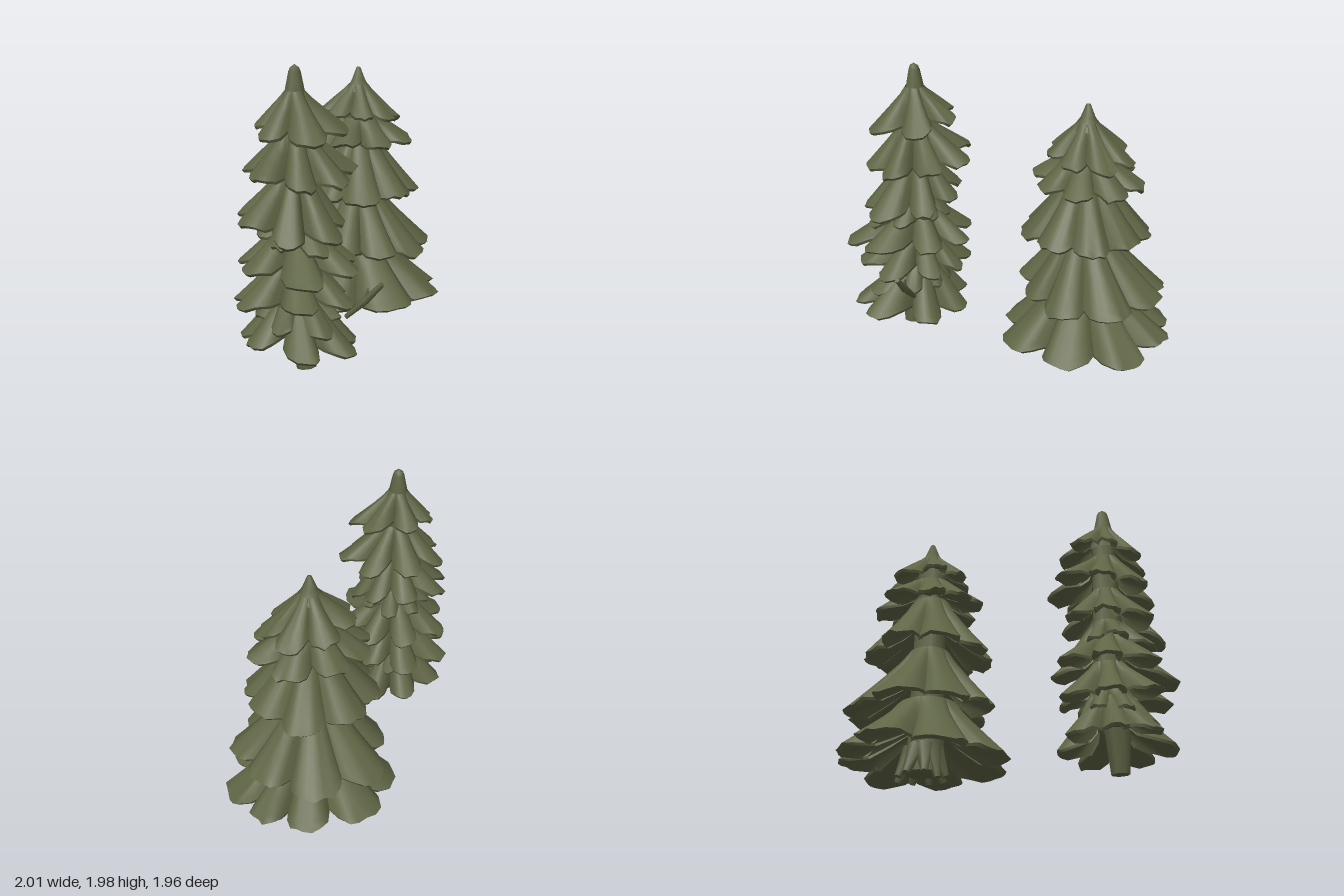
import * as THREE from 'three';
import { mergeGeometries } from 'three/addons/utils/BufferGeometryUtils.js';

let seed = 11;
const rnd = () => ((seed = (seed * 16807) % 2147483647) / 2147483647) * 2 - 1;
const needles = new THREE.MeshStandardMaterial({ color: 0x5f6545, side: THREE.DoubleSide });
needles.name = 'pine green';

// Smooth grid through rows of points (rows run inward to outward)
function loft(rows) {
  const n = rows[0].length, index = [];
  for (let i = 0; i < rows.length - 1; i++) {
    for (let j = 0; j < n - 1; j++) {
      const a = i * n + j, b = a + n;
      index.push(a, a + 1, b, b, a + 1, b + 1);
    }
  }
  const g = new THREE.BufferGeometry().setFromPoints(rows.flat());
  g.setIndex(index);
  g.computeVertexNormals();
  return g;
}

// One drooping bough: ridged upper face, thin ragged edge and a hollow underside
function bough(tree, tier, angle, a0, a1) {
  const { top, rTop, tip, tiltX = 0, tiltZ = 0, depth, ext } = tier;
  const cols = 8, reach = 0.99 + 0.04 * rnd(), sag = 0.03 * rnd();
  const rim = [];
  for (let j = 0; j <= cols; j++) {
    const u = (j / cols) * 2 - 1;
    const a = u < 0 ? angle + u * (angle - a0) : angle + u * (a1 - angle);
    const c = Math.cos(a), s = Math.sin(a);
    const rx = c > 0 ? ext[1] - tree.x : tree.x - ext[0];
    const rz = s > 0 ? ext[3] - tree.z : tree.z - ext[2];
    const f = (1 - depth * Math.abs(u) ** tree.blunt) * (1 + (reach - 1) * (1 - u * u)) + 0.025 * rnd();
    rim.push({
      c, s, u, r: Math.hypot(c * rx, s * rz) * f,
      y: tip - tiltX * c - tiltZ * s + sag * (1 - u * u) + 0.07 * depth * u * u + 0.015 * rnd(),
    });
  }
  const row = fn => rim.map(p => {
    const [r, y] = fn(p);
    return new THREE.Vector3(tree.x + p.c * r, y, tree.z + p.s * r);
  });
  const upper = [0, 0.2, 0.45, 0.7, 0.9, 1].map(t => row(p => [
    rTop + (p.r - rTop) * t ** 1.2,
    top + (p.y + 0.01 - top) * t + Math.sin(Math.PI * t) * (0.012 - 0.035 * p.u * p.u),
  ]));
  const edge = [upper[5], row(p => [p.r * 0.96, p.y - 0.008])];
  const under = [edge[1],
    row(p => [p.r * 0.62, p.y + (top - p.y) * 0.2]),
    row(p => [Math.min(rTop, 0.09), p.y + (top - p.y) * 0.5])];
  return [loft(upper), loft(edge), loft(under)];
}

function addTier(group, tree, tier, i) {
  const A = tier.at.map(d => d * Math.PI / 180), n = A.length, parts = [];
  A.forEach((a, k) => {
    const prev = k ? A[k - 1] : A[n - 1] - 2 * Math.PI;
    const next = k < n - 1 ? A[k + 1] : A[0] + 2 * Math.PI;
    parts.push(...bough(tree, tier, a, (a + prev) / 2 - 0.03, (a + next) / 2 + 0.03));
  });
  const mesh = new THREE.Mesh(mergeGeometries(parts), needles);
  mesh.name = `boughTier${i + 1}`;
  group.add(mesh);
}

// Tapered rod between two points
function rod(name, from, to, r0, r1, sides = 7) {
  const a = new THREE.Vector3(...from), b = new THREE.Vector3(...to), d = b.clone().sub(a);
  const m = new THREE.Mesh(new THREE.CylinderGeometry(r1, r0, d.length(), sides), needles);
  m.position.copy(a).add(b).multiplyScalar(0.5);
  m.quaternion.setFromUnitVectors(new THREE.Vector3(0, 1, 0), d.normalize());
  m.name = name;
  return m;
}

// Leading shoot at the top of a tree
function crown(tree) {
  const g = new THREE.LatheGeometry(tree.crown.map(p => new THREE.Vector2(...p)), 7);
  const m = new THREE.Mesh(g, needles);
  m.position.set(tree.x, 0, tree.z);
  m.name = 'crown';
  return m;
}

// ext = xMin, xMax, zMin, zMax of the bough tips; at = bough directions in degrees
const slim = {
  name: 'slimTree', x: -0.57, z: 0.45, blunt: 2.4,
  crown: [[0.1, 1.65], [0.08, 1.74], [0.065, 1.82], [0.04, 1.94], [0.03, 1.965], [0, 1.985]],
  tiers: [
    { top: 1.82, rTop: 0.065, tip: 1.57, tiltZ: 0.05, depth: 0.55, ext: [-0.84, -0.23, 0.17, 0.8], at: [-150, -88, -28, 16, 96, 170] },
    { top: 1.57, rTop: 0.1, tip: 1.28, tiltZ: 0.06, depth: 0.55, ext: [-0.9, -0.15, 0.04, 0.81], at: [-135, -83, -35, 8, 58, 107, 172] },
    { top: 1.31, rTop: 0.1, tip: 0.99, tiltZ: 0.08, depth: 0.5, ext: [-0.96, -0.26, 0.11, 0.87], at: [-140, -85, -30, 10, 78, 125, 178] },
    { top: 1.06, rTop: 0.11, tip: 0.87, tiltZ: 0.02, depth: 0.5, ext: [-0.84, -0.33, 0.22, 0.83], at: [-155, -110, -55, 0, 50, 90, 140] },
    { top: 0.97, rTop: 0.11, tip: 0.7, tiltZ: 0.01, depth: 0.56, ext: [-0.97, -0.17, 0.07, 0.98], at: [-135, -82, -33, 8, 68, 108, 172] },
    { top: 0.75, rTop: 0.12, tip: 0.47, tiltX: -0.02, tiltZ: -0.01, depth: 0.56, ext: [-1.0, -0.23, 0.06, 0.89], at: [-140, -83, -33, 7, 62, 110, 175] },
    { top: 0.56, rTop: 0.13, tip: 0.34, tiltZ: 0.02, depth: 0.55, ext: [-0.84, -0.33, 0.22, 0.85], at: [-165, -110, -58, -10, 35, 88, 140] },
    { top: 0.5, rTop: 0.13, tip: 0.18, tiltX: 0.04, depth: 0.58, ext: [-0.96, -0.17, 0.1, 0.96], at: [-145, -85, -35, 14, 74, 108, 172] },
  ],
};
const broad = {
  name: 'broadTree', x: 0.37, z: -0.38, blunt: 3.2,
  crown: [[0.1, 1.66], [0.075, 1.7], [0.05, 1.74], [0.015, 1.83], [0, 1.835]],
  tiers: [
    { top: 1.71, rTop: 0.07, tip: 1.47, tiltX: 0.02, depth: 0.42, ext: [0.07, 0.7, -0.7, -0.1], at: [-155, -95, -40, 5, 60, 110, 165] },
    { top: 1.48, rTop: 0.16, tip: 1.28, depth: 0.42, ext: [-0.04, 0.8, -0.78, -0.01], at: [-150, -100, -45, 0, 42, 88, 140, 178] },
    { top: 1.34, rTop: 0.13, tip: 0.91, depth: 0.24, ext: [-0.1, 0.83, -0.82, 0.05], at: [-160, -110, -62, -15, 25, 68, 115, 160] },
    { top: 0.95, rTop: 0.14, tip: 0.48, tiltX: 0.01, tiltZ: -0.01, depth: 0.3, ext: [-0.11, 0.96, -0.98, 0.08], at: [-165, -120, -72, -30, 8, 55, 92, 140] },
    { top: 0.55, rTop: 0.21, tip: 0.15, tiltX: -0.01, tiltZ: 0.02, depth: 0.34, ext: [-0.21, 1.01, -1, 0.22], at: [-158, -107, -64, -34, -3, 47, 90, 152] },
  ],
};

function makeTree(tree) {
  const g = new THREE.Group();
  g.name = tree.name;
  g.add(crown(tree));
  tree.tiers.forEach((t, i) => addTier(g, tree, t, i));
  return g;
}

export function createModel() {
  const model = new THREE.Group();
  model.name = 'pineTrees';
  const a = makeTree(slim), b = makeTree(broad);

  // Slim tree: trunk stub, inner stem and a snapped twig
  a.add(rod('trunk', [-0.545, 0.01, 0.54], [-0.57, 0.4, 0.5], 0.065, 0.1));
  a.add(rod('stem', [-0.57, 0.3, 0.46], [-0.57, 1.7, 0.45], 0.13, 0.08));
  const twig = new THREE.Group();
  twig.name = 'snappedTwig';
  twig.add(rod('twigBase', [-0.3, 0.34, 0.63], [-0.22, 0.46, 0.73], 0.018, 0.028, 5),
    rod('twigTip', [-0.22, 0.46, 0.73], [-0.14, 0.59, 0.82], 0.028, 0.018, 5),
    rod('twigSpur', [-0.22, 0.46, 0.73], [-0.2, 0.55, 0.74], 0.018, 0.005, 5));
  a.add(twig);

  // Broad tree: inner stem and a ring of splayed roots
  b.add(rod('stem', [0.39, 0.07, -0.38], [0.37, 1.6, -0.38], 0.13, 0.1, 9));
  for (let i = 0; i < 9; i++) {
    const t = (i / 9) * Math.PI * 2 + 0.2, r = 0.165 + 0.03 * rnd();
    b.add(rod('root', [0.39 + Math.cos(t) * r, 0.035 + 0.02 * rnd(), -0.39 + Math.sin(t) * r],
      [0.39 + Math.cos(t) * 0.08, 0.24, -0.39 + Math.sin(t) * 0.08], 0.025, 0.065, 5));
  }
  model.add(a, b);
  return model;
}
